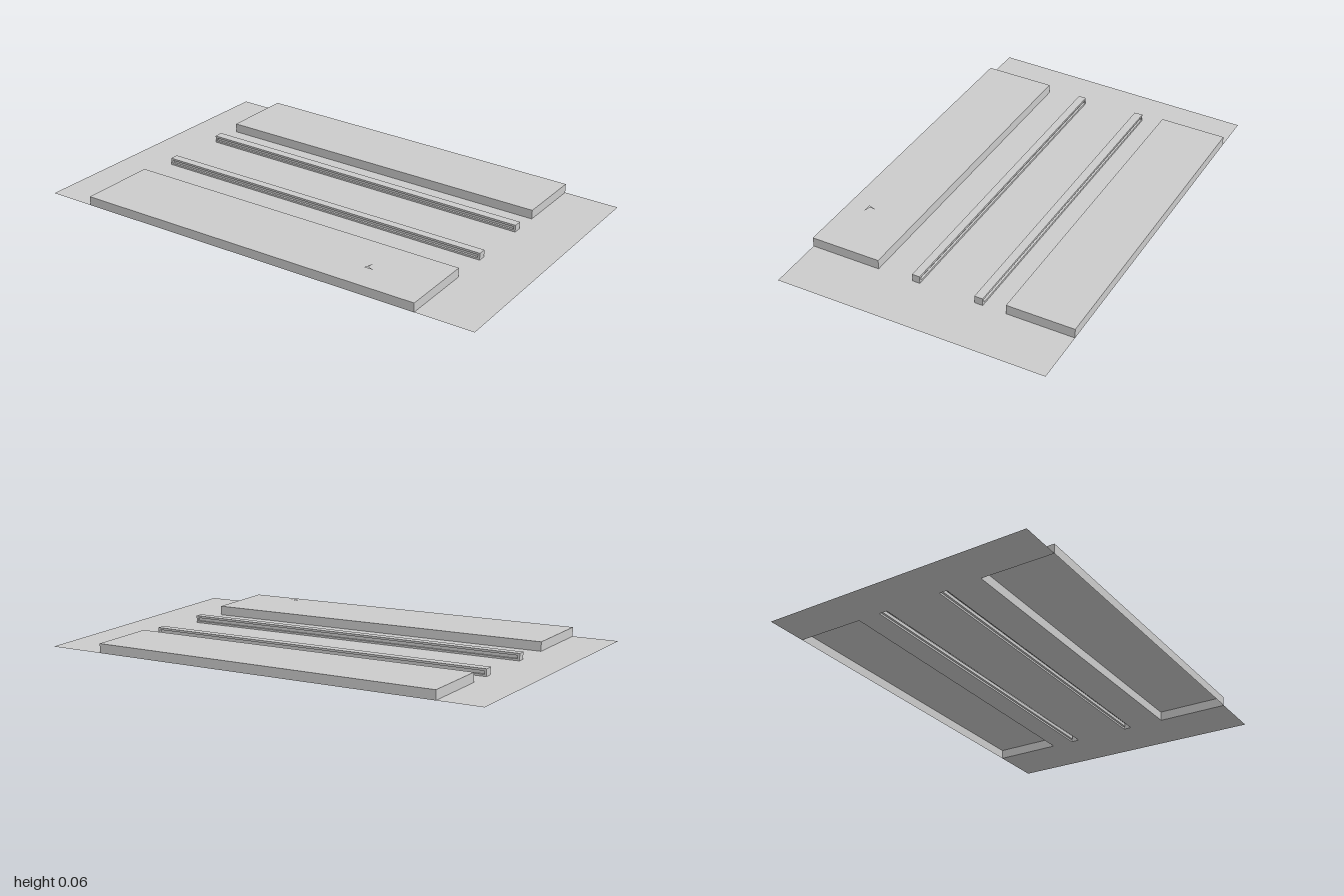
import * as THREE from 'three';

const material = new THREE.MeshStandardMaterial({
  color: 0xcccccc, flatShading: true, side: THREE.DoubleSide,
});

// Plan outlines as [x, z]: back-left, back-right, front-right, front-left
const backPlatform = [[-0.755, -0.586], [0.75, -0.637], [0.75, -0.347], [-0.765, -0.287]];
const frontPlatform = [[-0.79, 0.304], [0.75, 0.224], [0.75, 0.535], [-0.8, 0.628]];
const backRail = [[-0.77, -0.185], [0.75, -0.246], [0.75, -0.21], [-0.77, -0.147]];
const frontRail = [[-0.78, 0.108], [0.75, 0.034], [0.75, 0.068], [-0.78, 0.143]];

const toVectors = (points) => points.map(([x, z]) => new THREE.Vector2(x, -z));

// Flat horizontal sheet at height y, with optional holes
function sheet(name, outline, y, holes = []) {
  const shape = new THREE.Shape(toVectors(outline));
  for (const hole of holes) shape.holes.push(new THREE.Path(toVectors(hole)));
  const geometry = new THREE.ShapeGeometry(shape).rotateX(-Math.PI / 2).translate(0, y, 0);
  const mesh = new THREE.Mesh(geometry, material);
  mesh.name = name;
  return mesh;
}

// Walls through a stack of { points, y } rings, closed by a top sheet and open below
function raised(name, rings) {
  const positions = [];
  for (let r = 0; r + 1 < rings.length; r++) {
    const lower = rings[r], upper = rings[r + 1], n = lower.points.length;
    const at = (ring, i) => [ring.points[i % n][0], ring.y, ring.points[i % n][1]];
    for (let i = 0; i < n; i++) {
      const a0 = at(lower, i), b0 = at(lower, i + 1), a1 = at(upper, i), b1 = at(upper, i + 1);
      positions.push(...a0, ...a1, ...b0, ...b0, ...a1, ...b1);
    }
  }
  const geometry = new THREE.BufferGeometry();
  geometry.setAttribute('position', new THREE.Float32BufferAttribute(positions, 3));
  geometry.computeVertexNormals();
  const walls = new THREE.Mesh(geometry, material);
  walls.name = name + 'Walls';
  const group = new THREE.Group();
  group.name = name;
  const top = rings[rings.length - 1];
  group.add(walls, sheet(name + 'Top', top.cap || top.points, top.y));
  return group;
}

const platform = (name, outline) =>
  raised(name, [{ points: outline, y: 0 }, { points: outline, y: 0.04 }]);

// Rail outline whose long sides are pushed in by depth, apart from the solid ends
function railRing([p0, p1, p2, p3], depth) {
  const side = (a, b, d) => {
    const mix = (t, inset) => [a[0] + (b[0] - a[0]) * t, a[1] + (b[1] - a[1]) * t + inset];
    return [a, mix(0.006, 0), mix(0.006, d), mix(0.994, d), mix(0.994, 0), b];
  };
  return [...side(p0, p1, depth), ...side(p2, p3, -depth)];
}

// Rail with a foot, a narrower web and a head
function rail(name, outline) {
  const full = railRing(outline, 0), web = railRing(outline, 0.009);
  return raised(name, [
    { points: full, y: 0 }, { points: full, y: 0.008 },
    { points: web, y: 0.008 }, { points: web, y: 0.022 },
    { points: full, y: 0.022 }, { points: full, y: 0.031, cap: outline },
  ]);
}

export function createModel() {
  const model = new THREE.Group();
  model.name = 'stationTracks';

  // Ground sheet, cut away beneath the platforms and rails
  const [b0, b1, b2, b3] = backPlatform;
  const [f0, f1, f2, f3] = frontPlatform;
  const groundOutline = [
    [-0.945, -0.58], b0, b3, b2, b1, [0.99, -0.645],
    [1, 0.52], f2, f1, f0, f3, [-1, 0.64],
  ];
  model.add(sheet('ground', groundOutline, 0, [backRail, frontRail]));

  model.add(platform('backPlatform', backPlatform), platform('frontPlatform', frontPlatform));
  model.add(rail('backRail', backRail), rail('frontRail', frontRail));

  // Small thin marker hovering over the front platform
  model.add(sheet('marker', [[0.485, 0.415], [0.483, 0.443], [0.515, 0.452], [0.47, 0.455]], 0.057));
  return model;
}
